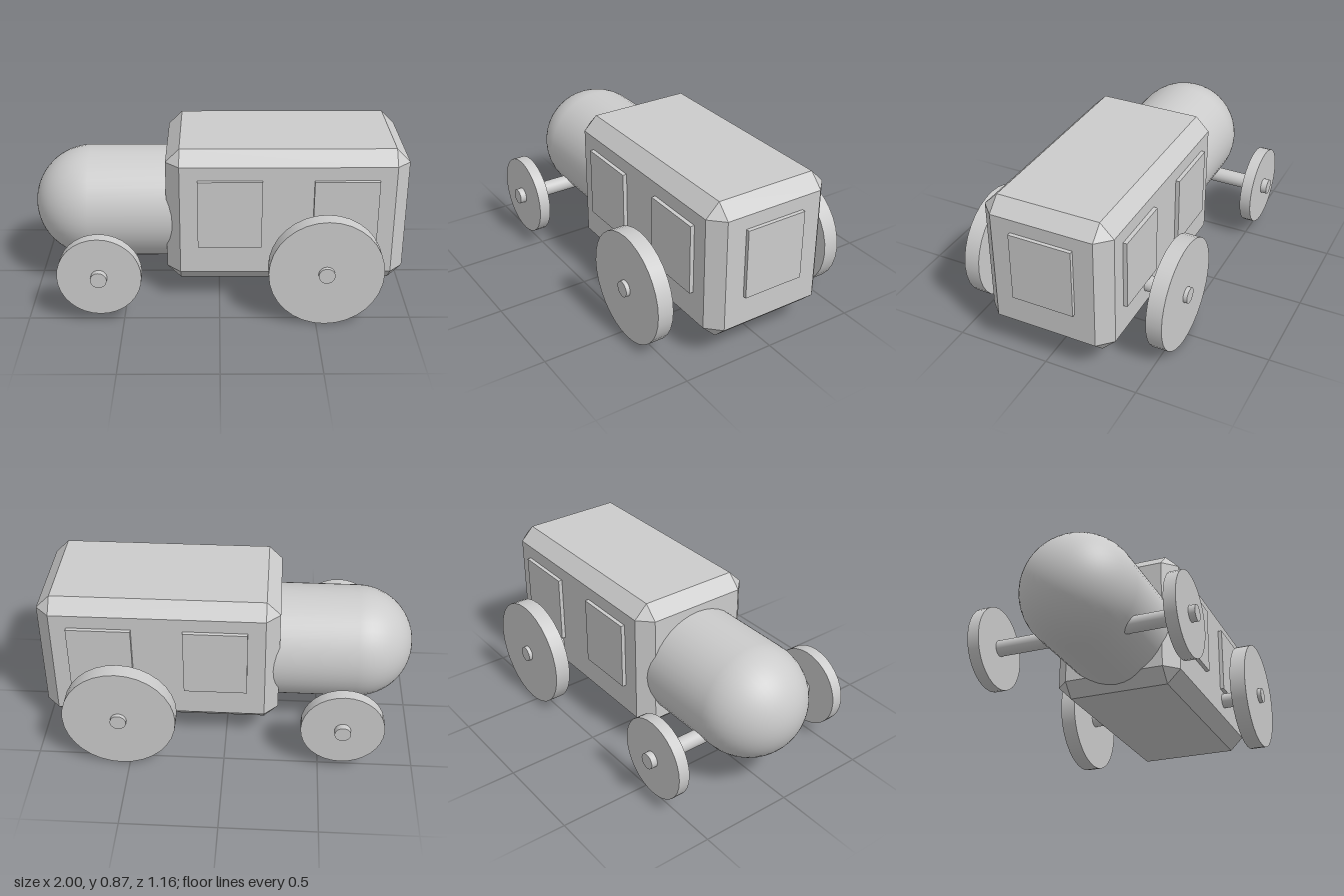
import * as THREE from 'three';
import { ConvexGeometry } from 'three/addons/geometries/ConvexGeometry.js';

export function createModel() {
  const model = new THREE.Group();
  const smooth = new THREE.MeshStandardMaterial({ color: 0xcccccc });
  const flat = new THREE.MeshStandardMaterial({ color: 0xcccccc, flatShading: true });

  function add(name, geometry, material, x, y, z) {
    const mesh = new THREE.Mesh(geometry, material);
    mesh.name = name;
    mesh.position.set(x, y, z);
    model.add(mesh);
    return mesh;
  }

  // Box with every edge chamfered: each corner contributes three points
  function chamferedBox(w, h, d, c) {
    const points = [];
    for (const sx of [-1, 1]) for (const sy of [-1, 1]) for (const sz of [-1, 1]) {
      for (let axis = 0; axis < 3; axis++) {
        points.push(new THREE.Vector3(
          sx * (w / 2 - (axis === 0 ? 0 : c)),
          sy * (h / 2 - (axis === 1 ? 0 : c)),
          sz * (d / 2 - (axis === 2 ? 0 : c))));
      }
    }
    return new ConvexGeometry(points);
  }

  // Cabin
  add('cabin', chamferedBox(1.26, 0.75, 0.693, 0.073), flat, 0.35, 0.495, 0);

  // Rounded boiler nose, running into the cabin
  const boiler = new THREE.CapsuleGeometry(0.305, 0.7, 16, 40);
  boiler.rotateZ(Math.PI / 2);
  add('boiler', boiler, smooth, -0.345, 0.455, 0);

  // Raised window panels on both sides and the end wall
  for (const side of [-1, 1]) {
    for (const x of [0.053, 0.653]) {
      add('sideWindow', new THREE.BoxGeometry(0.334, 0.373, 0.04), flat, x, 0.538, side * 0.348);
    }
  }
  add('endWindow', new THREE.BoxGeometry(0.04, 0.373, 0.334), flat, 0.98, 0.538, 0);

  // Axles with a wheel at each end
  const axles = [
    { name: 'noseWheel', x: -0.617, y: 0.275, radius: 0.217, width: 0.062, z: 0.515 },
    { name: 'cabinWheel', x: 0.545, y: 0.298, radius: 0.296, width: 0.085, z: 0.516 },
  ];
  for (const a of axles) {
    const axle = new THREE.CylinderGeometry(0.042, 0.042, 1.16, 32);
    axle.rotateX(Math.PI / 2);
    add(a.name + 'Axle', axle, smooth, a.x, a.y, 0);
    for (const side of [-1, 1]) {
      const wheel = new THREE.CylinderGeometry(a.radius, a.radius, a.width, 32);
      wheel.rotateX(Math.PI / 2);
      add(a.name, wheel, smooth, a.x, a.y, side * a.z);
    }
  }

  return model;
}
